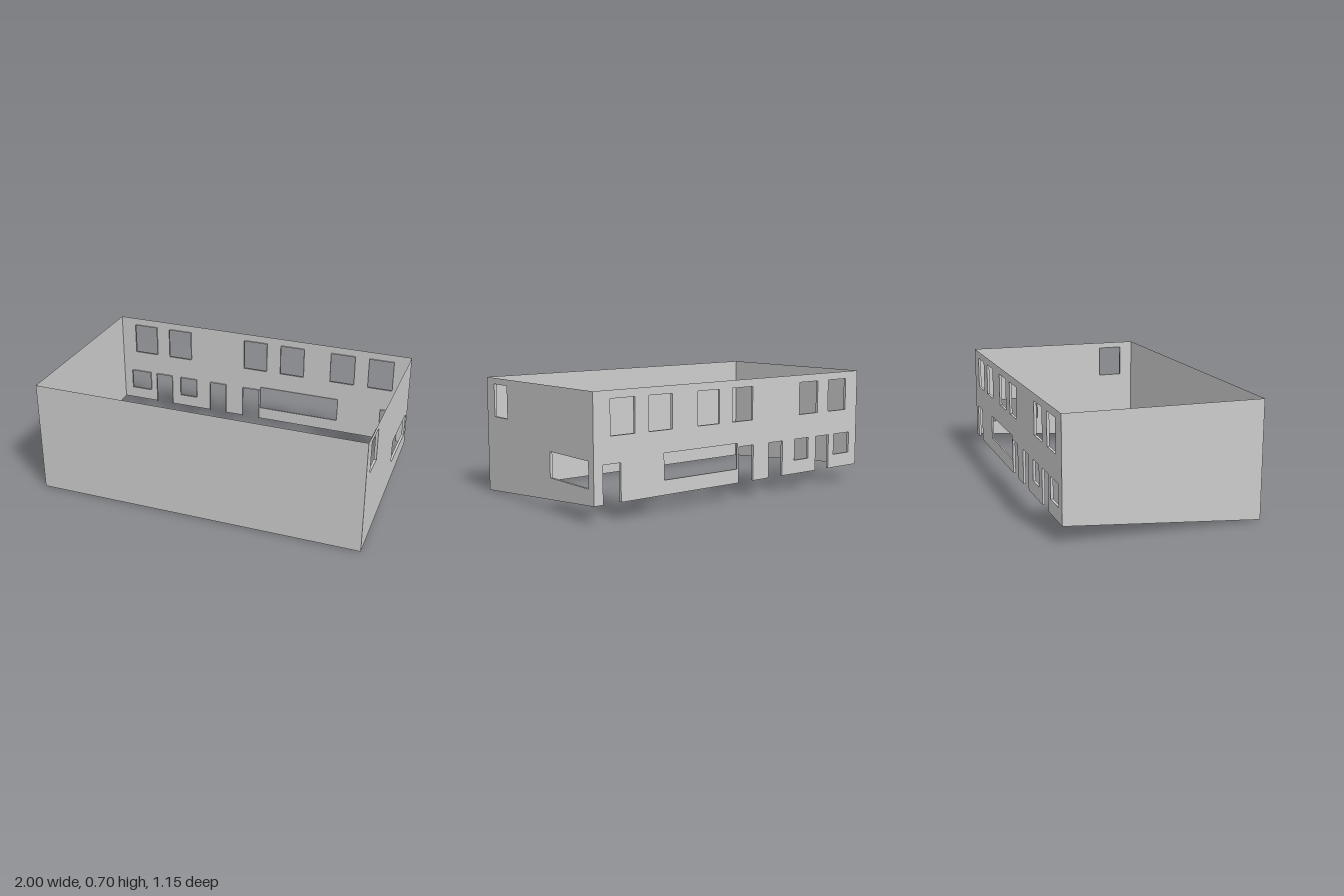
import * as THREE from 'three';

const material = new THREE.MeshStandardMaterial({ color: 0xcccccc, side: THREE.DoubleSide, flatShading: true });
const HALF_X = 1, HALF_Z = 0.575;
const FRONT_TOP = 0.69, BACK_TOP = 0.7, BACK_BASE = 0.1;

const points = list => list.map(([u, v]) => new THREE.Vector2(u, v));
const corners = ({ u0, u1, v0, v1 }) => [[u0, v0], [u0, v1], [u1, v1], [u1, v0]];

// One strip of an opening's lining, running from the wall face inwards
function liningStrip([ua, va], [ub, vb], depth, name) {
  const length = Math.hypot(ub - ua, vb - va);
  const geometry = new THREE.PlaneGeometry(length, depth);
  geometry.rotateX(Math.PI / 2);
  geometry.rotateZ(Math.atan2(vb - va, ub - ua));
  geometry.translate((ua + ub) / 2, (va + vb) / 2, -depth / 2);
  const mesh = new THREE.Mesh(geometry, material);
  mesh.name = name;
  return mesh;
}

// Thin wall facing local +z, with window holes and lined openings
function wall(name, outline, windows = [], doors = []) {
  const group = new THREE.Group();
  group.name = name;
  const shape = new THREE.Shape(points(outline));
  for (const w of windows) shape.holes.push(new THREE.Path(points(corners(w))));
  const panel = new THREE.Mesh(new THREE.ShapeGeometry(shape), material);
  panel.name = name + 'Panel';
  group.add(panel);

  for (const w of windows) {
    const c = corners(w);
    c.forEach((p, i) => group.add(liningStrip(p, c[(i + 1) % 4], w.depth, 'windowLining')));
  }
  for (const d of doors) {
    const c = corners(d);
    for (let i = 0; i < 3; i++) group.add(liningStrip(c[i], c[i + 1], d.depth, 'doorLining'));
  }
  return group;
}

const opening = (u0, u1, v0, v1, depth = 0.015) => ({ u0, u1, v0, v1, depth });

export function createModel() {
  const house = new THREE.Group();
  house.name = 'houseShell';

  // Front wall, plain
  const front = wall('frontWall', [[-HALF_X, 0], [HALF_X, 0], [HALF_X, FRONT_TOP], [-HALF_X, FRONT_TOP]]);
  front.position.z = HALF_Z;

  // Back wall: openings are listed by x, and mirrored since the wall is turned round
  const byX = (x0, x1, v0, v1, depth) => opening(-x1, -x0, v0, v1, depth);
  const upperWindows = [-0.895, -0.645, -0.105, 0.148, 0.486, 0.736].map(x => byX(x, x + 0.157, 0.46, 0.655));
  const lowerWindows = [
    byX(-0.934, -0.796, 0.183, 0.312),
    byX(-0.57, -0.452, 0.183, 0.312),
    byX(0.012, 0.542, 0.183, 0.333, 0.01),
  ];
  const doors = [0.828, -0.114, -0.351, -0.749].map(x => byX(x, x + 0.114, BACK_BASE, 0.312));
  const backOutline = [[-HALF_X, BACK_BASE]];
  for (const d of doors) backOutline.push(...corners(d));
  backOutline.push([HALF_X, BACK_BASE], [HALF_X, BACK_TOP], [-HALF_X, BACK_TOP]);
  const back = wall('backWall', backOutline, [...upperWindows, ...lowerWindows], doors);
  back.rotation.y = Math.PI;
  back.position.z = -HALF_Z;

  // Side walls, with the base rising towards the back
  const sideOutline = s => [[-s * HALF_Z, 0], [s * HALF_Z, BACK_BASE], [s * HALF_Z, BACK_TOP], [-s * HALF_Z, FRONT_TOP]];
  const left = wall('leftWall', sideOutline(1), [
    opening(-0.485, -0.332, 0.46, 0.655),
    opening(0.142, 0.525, 0.185, 0.332),
  ]);
  left.rotation.y = Math.PI / 2;
  left.position.x = HALF_X;

  const right = wall('rightWall', sideOutline(-1));
  right.rotation.y = -Math.PI / 2;
  right.position.x = -HALF_X;

  house.add(front, back, left, right);
  return house;
}
